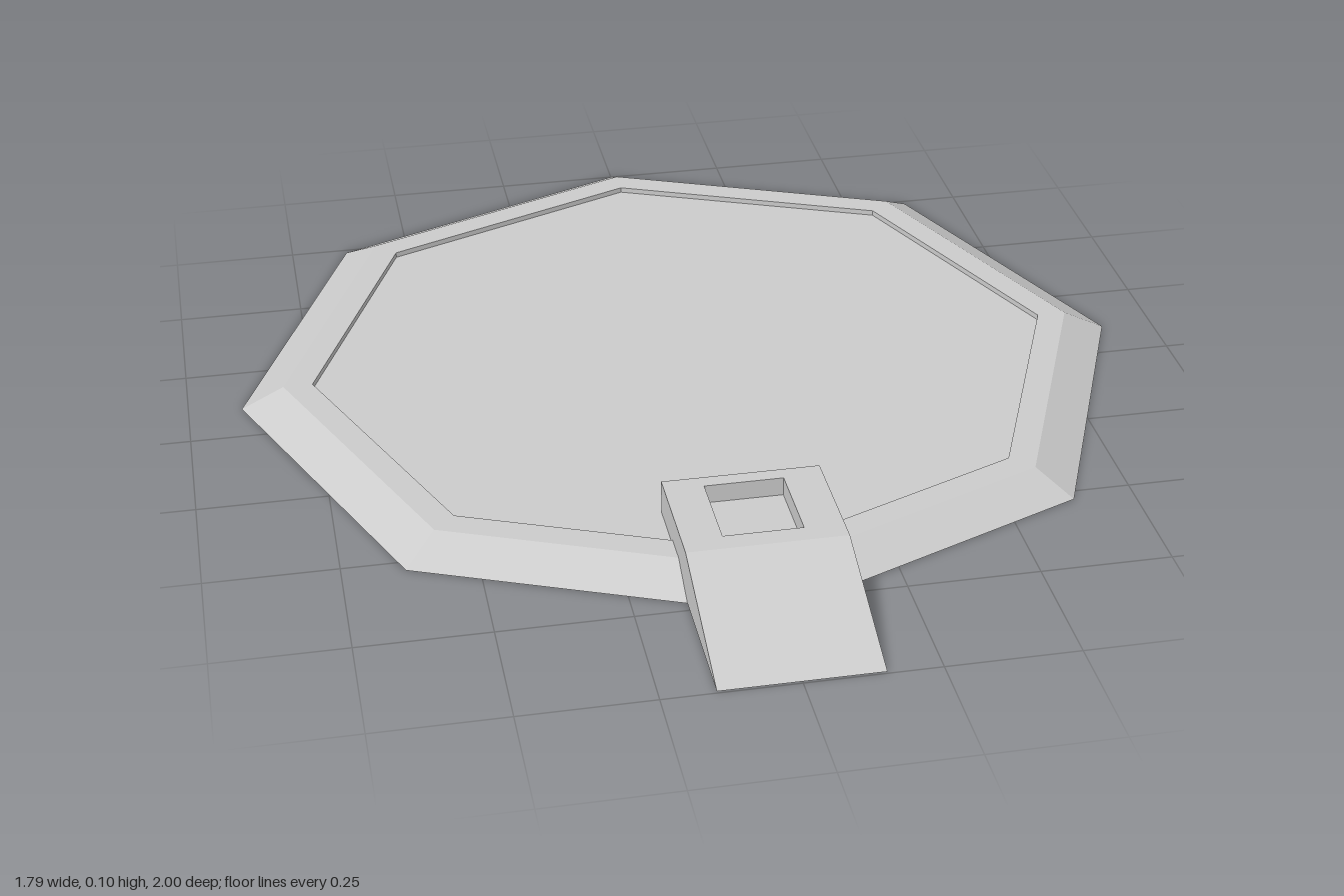
import * as THREE from 'three';

const material = new THREE.MeshStandardMaterial({ color: 0xcccccc, flatShading: true });

function addPart(group, name, geometry) {
  const mesh = new THREE.Mesh(geometry, material);
  mesh.name = name;
  group.add(mesh);
  return mesh;
}

const shapeFrom = pts => new THREE.Shape(pts.map(([x, y]) => new THREE.Vector2(x, y)));

export function createModel() {
  const model = new THREE.Group();
  model.name = 'octagonalPlatform';

  // Eight-sided plate: bevelled edge, flat rim, shallow sunken floor
  const profile = [[0, 0], [0.895, 0], [0.81, 0.042], [0.752, 0.042], [0.752, 0.031], [0, 0.031]]
    .map(([r, y]) => new THREE.Vector2(r, y));
  addPart(model, 'plate', new THREE.LatheGeometry(profile, 8)).position.z = -0.105;

  // Ramp dimensions
  const half = 0.15, front = 0.995, crest = 0.71, back = 0.47, top = 0.097, pocketFloor = 0.06;
  const split = front - (front - crest) * pocketFloor / top;
  const ramp = new THREE.Group();
  ramp.name = 'ramp';
  model.add(ramp);

  // Lower wedge, up to the pocket floor (side profile drawn as z, y)
  const lower = new THREE.ExtrudeGeometry(
    shapeFrom([[back, 0], [front, 0], [split, pocketFloor], [back, pocketFloor]]),
    { depth: half * 2, bevelEnabled: false });
  lower.rotateY(-Math.PI / 2).translate(half, 0, 0);
  addPart(ramp, 'rampBase', lower);

  // Upper layer with the rectangular pocket, front edge sheared to the slope
  const plan = shapeFrom([[-half, -split], [half, -split], [half, -back], [-half, -back]]);
  plan.holes.push(shapeFrom([[-0.075, -0.67], [-0.075, -0.5], [0.075, -0.5], [0.075, -0.67]]));
  const upper = new THREE.ExtrudeGeometry(plan, { depth: top - pocketFloor, bevelEnabled: false });
  upper.rotateX(-Math.PI / 2).translate(0, pocketFloor, 0);
  const pos = upper.attributes.position;
  for (let i = 0; i < pos.count; i++) {
    if (pos.getZ(i) > crest && pos.getY(i) > top - 0.001) pos.setZ(i, crest);
  }
  upper.computeVertexNormals();
  addPart(ramp, 'rampTopWithPocket', upper);

  return model;
}
